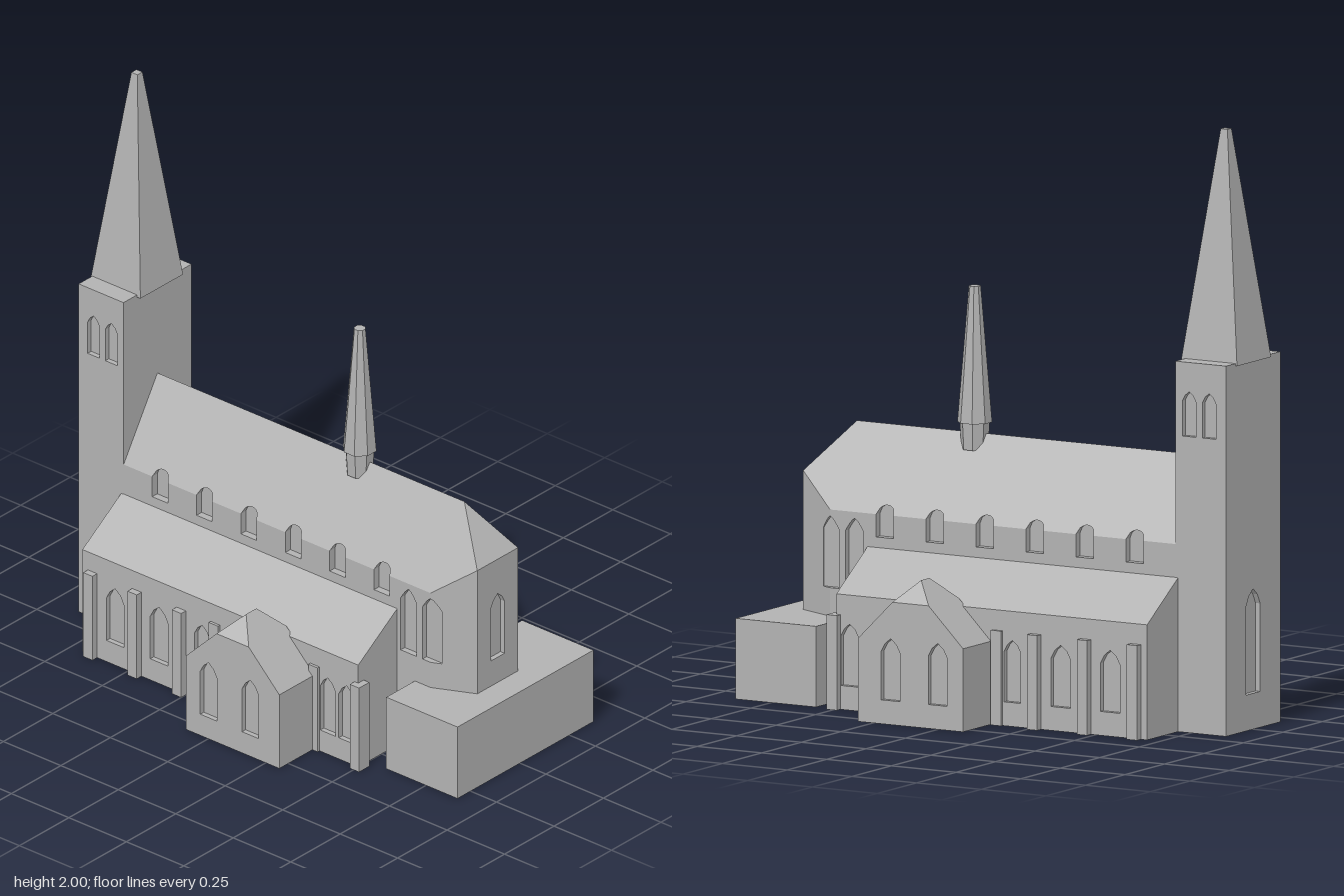
import * as THREE from 'three';
import { mergeGeometries } from 'three/addons/utils/BufferGeometryUtils.js';

const stone = new THREE.MeshStandardMaterial({ color: 0xb2b2b2, flatShading: true });
stone.name = 'stone grey';

// Reflects a geometry to the other side of the church, keeping faces outward
function mirrorZ(geo) {
  const g = geo.index ? geo.toNonIndexed() : geo.clone();
  const p = g.attributes.position;
  for (let i = 0; i < p.count; i++) p.setZ(i, -p.getZ(i));
  for (let i = 0; i < p.count; i += 3) {
    const b = new THREE.Vector3().fromBufferAttribute(p, i + 1);
    const c = new THREE.Vector3().fromBufferAttribute(p, i + 2);
    p.setXYZ(i + 1, c.x, c.y, c.z);
    p.setXYZ(i + 2, b.x, b.y, b.z);
  }
  g.computeVertexNormals();
  return g;
}

const poly = pts => pts.map(([x, y]) => new THREE.Vector2(x, y));
const rect = (x0, x1, y0, y1) => [[x0, y0], [x1, y0], [x1, y1], [x0, y1]];

// Pointed window outline
function lancet(x0, x1, y0, y1) {
  const w = x1 - x0, s = y1 - 0.62 * w, m = s + 0.6 * (y1 - s);
  return [[x0, y0], [x1, y0], [x1, s], [x1 - 0.2 * w, m], [(x0 + x1) / 2, y1], [x0 + 0.2 * w, m], [x0, s]];
}

// Wall with recessed windows; its face lies on z = 0 and looks along +z
function panel(outline, windows, depth = 0.018) {
  const wall = new THREE.Shape(poly(outline));
  windows.forEach(w => wall.holes.push(new THREE.Path(poly(lancet(...w)))));
  const front = new THREE.ExtrudeGeometry(wall, { depth, bevelEnabled: false }).translate(0, 0, -depth);
  const back = new THREE.ExtrudeGeometry(new THREE.Shape(poly(outline)), { depth: 0.004, bevelEnabled: false });
  return mergeGeometries([front, back.translate(0, 0, -depth - 0.004)]);
}

// Skin over symmetric sections; each is [x, half profile of (z, y) from the ground up]
function loft(sections) {
  const pos = [], idx = [], n = sections[0][1].length * 2;
  for (const [x, half] of sections) {
    half.forEach(([z, y]) => pos.push(x, y, z));
    [...half].reverse().forEach(([z, y]) => pos.push(x, y, -z));
  }
  for (let i = 0; i < sections.length - 1; i++) {
    for (let j = 0; j < n; j++) {
      const a = i * n + j, b = i * n + (j + 1) % n, c = b + n, d = a + n;
      idx.push(a, d, c, a, c, b);
    }
  }
  const g = new THREE.BufferGeometry();
  g.setAttribute('position', new THREE.Float32BufferAttribute(pos, 3));
  g.setIndex(idx);
  const flat = g.toNonIndexed();
  flat.computeVertexNormals();
  return flat;
}

const fullOutline = half => [...half, ...[...half].reverse().map(([x, y]) => [-x, y])];

export function createModel() {
  const model = new THREE.Group();
  model.name = 'church';
  const add = (name, geo) => {
    const m = new THREE.Mesh(geo, stone);
    m.name = name;
    model.add(m);
  };
  const addBoth = (name, geo) => {
    add(name + 'Front', geo);
    add(name + 'Back', mirrorZ(geo));
  };
  const box = (x0, x1, y0, y1, z0, z1) => new THREE.BoxGeometry(x1 - x0, y1 - y0, z1 - z0)
    .translate((x0 + x1) / 2, (y0 + y1) / 2, (z0 + z1) / 2);

  // Nave with canted east end, hipped roof and window niches cut into its sides
  const HIP = 0.645, END = 0.79, HALF = 0.171, PITCH = 1.6;
  const naveSection = (x, sill = 0.55, head = 0.55, depth = null) => {
    const t = Math.max(0, (x - HIP) / (END - HIP));
    const w = HALF - 0.068 * t, top = 0.9 - 0.165 * t, eave = 0.9 - PITCH * w;
    const outer = Math.min(w, (0.9 - head) / PITCH), d = depth ?? w;
    return [x, [[w, 0], [w, sill], [d, sill], [d, head], [outer, head],
      head > eave ? [outer, head] : [w, eave], [(0.9 - top) / PITCH, top]]];
  };
  const sections = [naveSection(-0.72)];
  const niche = (x0, x1, sill, depth, headAt) => {
    sections.push(naveSection(x0));
    for (let k = 0; k <= 8; k++) {
      sections.push(naveSection(x0 + (x1 - x0) * k / 8, sill, headAt(Math.abs(k / 4 - 1)), depth));
    }
    sections.push(naveSection(x1));
  };
  for (let i = 0; i < 6; i++) {
    const x = -0.532 + i * 0.193;
    niche(x - 0.034, x + 0.034, 0.55, 0.145, t => 0.6265 + 0.03 * Math.sqrt(1 - t * t));
  }
  for (const x of [0.515, 0.61]) {
    niche(x, x + 0.07, 0.365, 0.15, t => 0.562 + 0.043 * (1 - Math.pow(t, 1.4)));
  }
  sections.push(naveSection(END));
  add('nave', loft(sections));
  add('eastWall', panel(fullOutline([[0.103, 0], [0.103, 0.735]]), [[-0.035, 0.035, 0.365, 0.605]])
    .rotateY(Math.PI / 2).translate(END, 0, 0));

  // Side aisles: lean-to body, windowed wall and buttresses
  const A = 0.368;
  const aisle = new THREE.Shape(poly([[0, 0], [0.345, 0], [0.345, 0.3], [A, 0.3], [A, 0.385], [HALF, 0.515], [0, 0.515]]));
  addBoth('aisle', new THREE.ExtrudeGeometry(aisle, { depth: 1.2, bevelEnabled: false })
    .rotateY(-Math.PI / 2).translate(0.5, 0, 0));
  const aisleWindows = [[-0.595, -0.52], [-0.405, -0.328], [-0.212, -0.147], [0.335, 0.4], [0.415, 0.483]];
  addBoth('aisleWall', panel(rect(-0.7, 0.5, 0, 0.3), aisleWindows.map(([a, b]) => [a, b, 0.08, 0.288]))
    .translate(0, 0, A));
  for (const [x, out] of [[-0.656, 0.392], [-0.463, 0.392], [-0.27, 0.392], [-0.122, 0.378], [0.312, 0.378], [0.504, 0.392]]) {
    addBoth('buttress', box(x - 0.02, x + 0.02, 0, 0.317, 0.34, out));
  }

  // Transept porches with clipped gables
  const cut = [[0.203, 0], [0.203, 0.278], [0.07, 0.41], [0.07, 0.41]];
  const gable = [[0.203, 0], [0.203, 0.278], [0.07, 0.41], [0, 0.48]];
  const closed = cut.map(() => [0, 0.2]);
  addBoth('porch', loft([[0.355, closed], [0.355, cut], [0.425, gable], [0.477, gable], [0.545, cut]])
    .rotateY(-Math.PI / 2).translate(0.106, 0, 0));
  addBoth('porchWall', panel(fullOutline(cut.slice(0, 3)),
    [[-0.141, -0.069, 0.08, 0.287], [0.041, 0.113, 0.08, 0.287]]).translate(0.106, 0, 0.545));

  // West tower with belfry openings and spire
  const T = 0.172;
  add('towerCore', box(-0.866, -0.69, 0, 1.238, -0.153, 0.153));
  addBoth('towerWall', panel(rect(-0.885, -0.69, 0, 1.238),
    [[-0.846, -0.794, 0.99, 1.14], [-0.769, -0.717, 0.99, 1.14]]).translate(0, 0, T));
  add('towerWestWall', panel(rect(-0.155, 0.155, 0, 1.238), [[-0.045, 0.045, 0.12, 0.47]])
    .rotateY(-Math.PI / 2).translate(-0.885, 0, 0));
  add('spire', new THREE.CylinderGeometry(0.013 * Math.SQRT2, 0.108 * Math.SQRT2, 0.77, 4)
    .rotateY(Math.PI / 4).translate(-0.783, 1.615, -0.004));

  // Slender ridge turret
  add('turretBase', new THREE.CylinderGeometry(0.05, 0.045, 0.09, 8)
    .rotateY(Math.PI / 8).translate(0.19, 0.89, 0));
  add('turretSpire', new THREE.CylinderGeometry(0.02, 0.058, 0.455, 8)
    .rotateY(Math.PI / 8).translate(0.19, 1.1625, 0));

  // Low flat-roofed annex at the east end
  add('annex', box(0.577, 0.887, 0, 0.27, -0.371, 0.316));

  return model;
}
